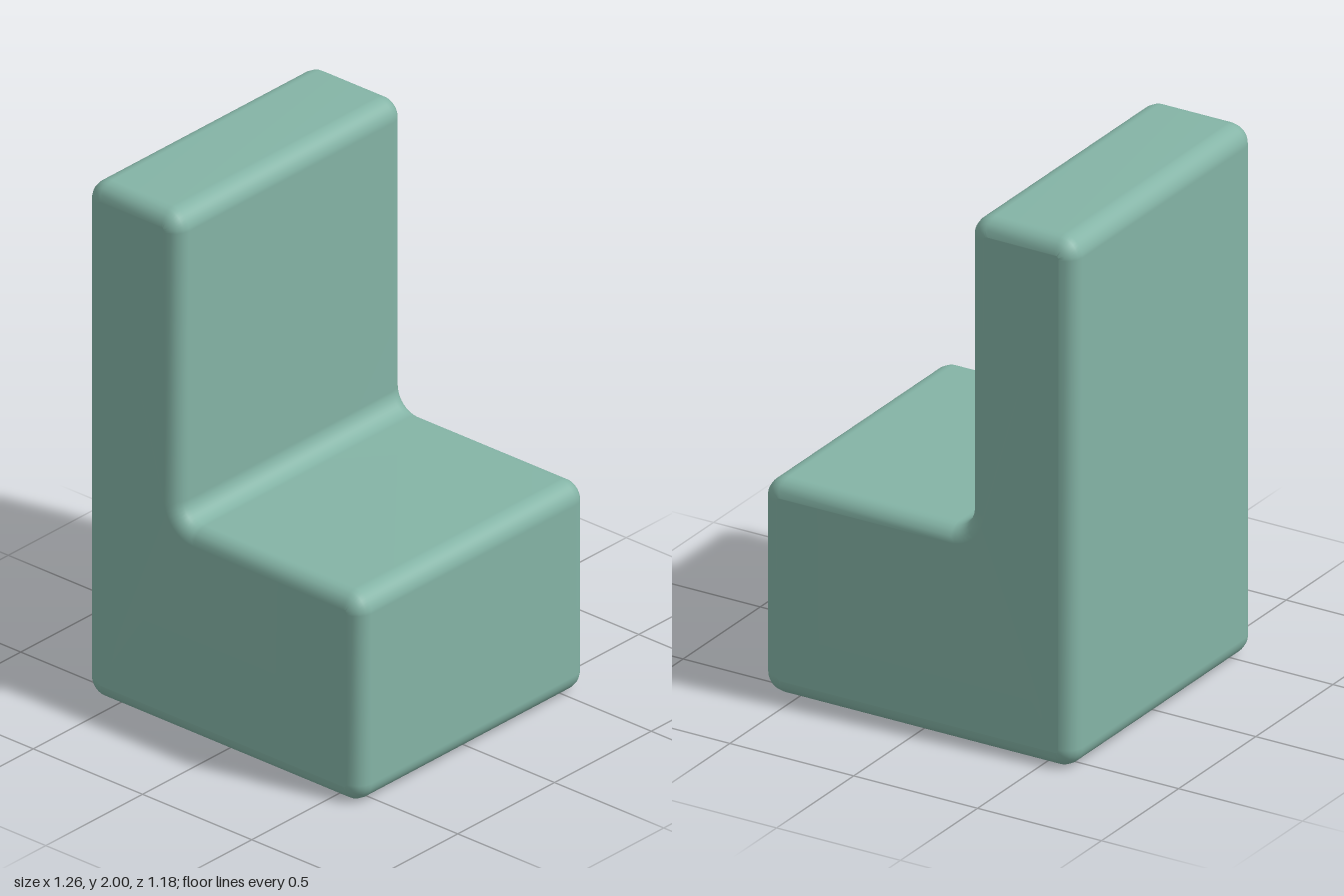
import * as THREE from 'three';
import { mergeVertices } from 'three/addons/utils/BufferGeometryUtils.js';

// Closed outline whose corners (convex or concave) are replaced by arcs.
function roundedOutline(corners, r) {
  const pts = corners.map(([x, y]) => new THREE.Vector2(x, y));
  const n = pts.length;
  const shape = new THREE.Shape();
  pts.forEach((p, i) => {
    const into = p.clone().sub(pts[(i + n - 1) % n]).normalize();
    const out = pts[(i + 1) % n].clone().sub(p).normalize();
    const c = p.clone().addScaledVector(into, -r).addScaledVector(out, r);
    shape.absarc(c.x, c.y, r, Math.atan2(-out.y, -out.x), Math.atan2(into.y, into.x), into.cross(out) < 0);
  });
  return shape;
}

export function createModel() {
  const group = new THREE.Group();
  group.name = 'chair';

  // Side profile: tall back on the -x side, block seat towards +x
  const profile = roundedOutline([
    [-0.63, 0], [0.63, 0], [0.63, 0.81], [-0.205, 0.81], [-0.205, 2], [-0.63, 2],
  ], 0.075);

  // Extruded across the width with soft rounded rims
  const halfWidth = 0.588, bevel = 0.06;
  let geometry = new THREE.ExtrudeGeometry(profile, {
    depth: 2 * (halfWidth - bevel),
    bevelEnabled: true,
    bevelSize: bevel,
    bevelOffset: -bevel,
    bevelThickness: bevel,
    bevelSegments: 4,
    curveSegments: 5,
  });
  geometry.translate(0, 0, bevel - halfWidth);

  // Weld so the shading runs smoothly over every edge
  geometry.deleteAttribute('normal');
  geometry.deleteAttribute('uv');
  geometry = mergeVertices(geometry, 1e-4);
  geometry.computeVertexNormals();

  const body = new THREE.Mesh(geometry, new THREE.MeshStandardMaterial({ color: 0x84b4a6 }));
  body.name = 'seatAndBack';
  group.add(body);
  return group;
}
